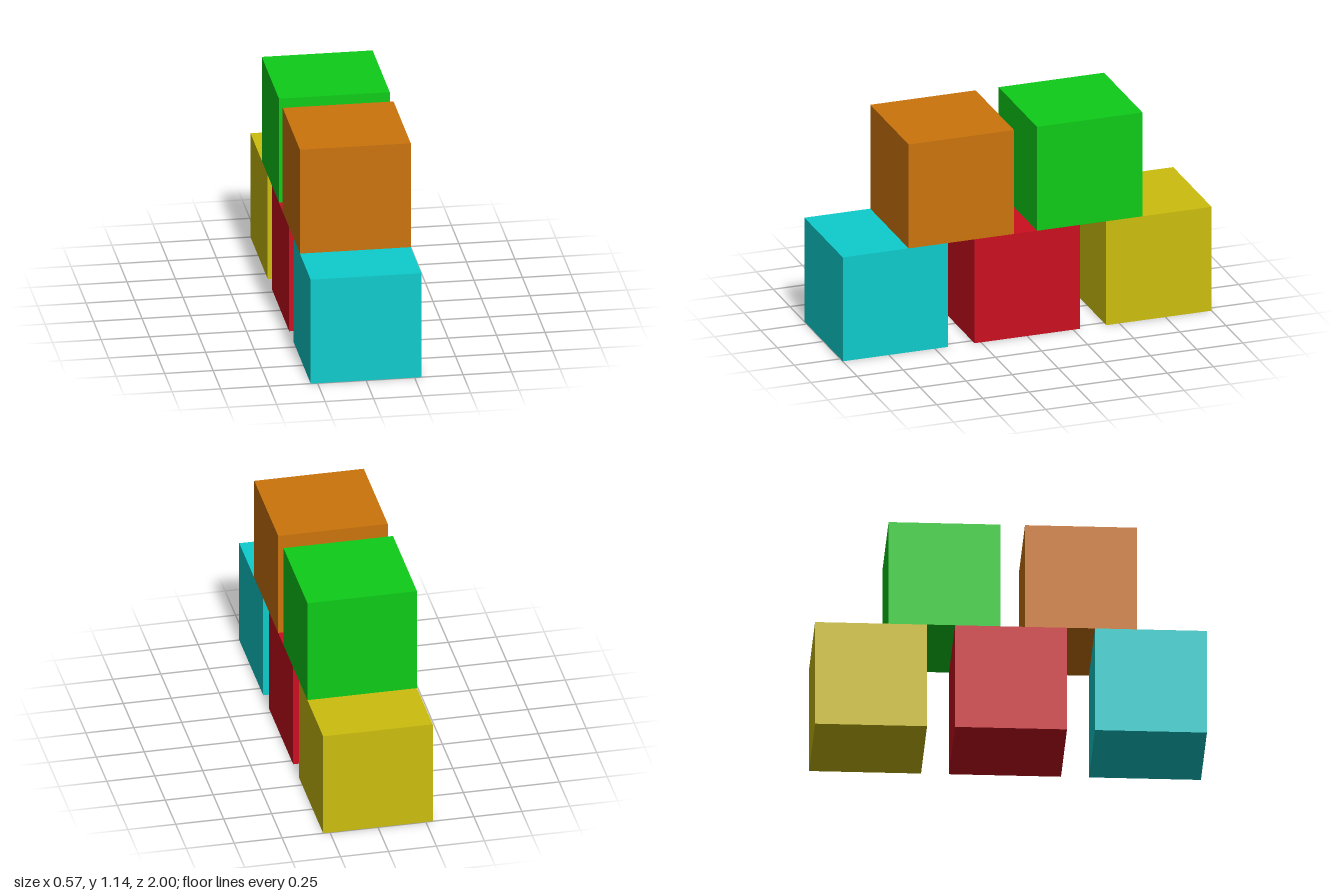
import * as THREE from 'three';

const SIZE = 4 / 7;

export function createModel() {
  const model = new THREE.Group();
  model.name = 'stackedCubes';
  const geometry = new THREE.BoxGeometry(SIZE, SIZE, SIZE);

  // name, color, row (0 = bottom), centre z
  const cubes = [
    ['frontBottomCube', 0x0ecccc, 0, 0.714],
    ['middleBottomCube', 0xcc0e20, 0, 0],
    ['backBottomCube', 0xccbe0e, 0, -0.714],
    ['frontTopCube', 0xcc740c, 1, 0.357],
    ['backTopCube', 0x0ecc18, 1, -0.339],
  ];

  for (const [name, color, row, z] of cubes) {
    const cube = new THREE.Mesh(geometry, new THREE.MeshStandardMaterial({ color }));
    cube.name = name;
    cube.position.set(0, SIZE * (row + 0.5), z);
    model.add(cube);
  }
  return model;
}
